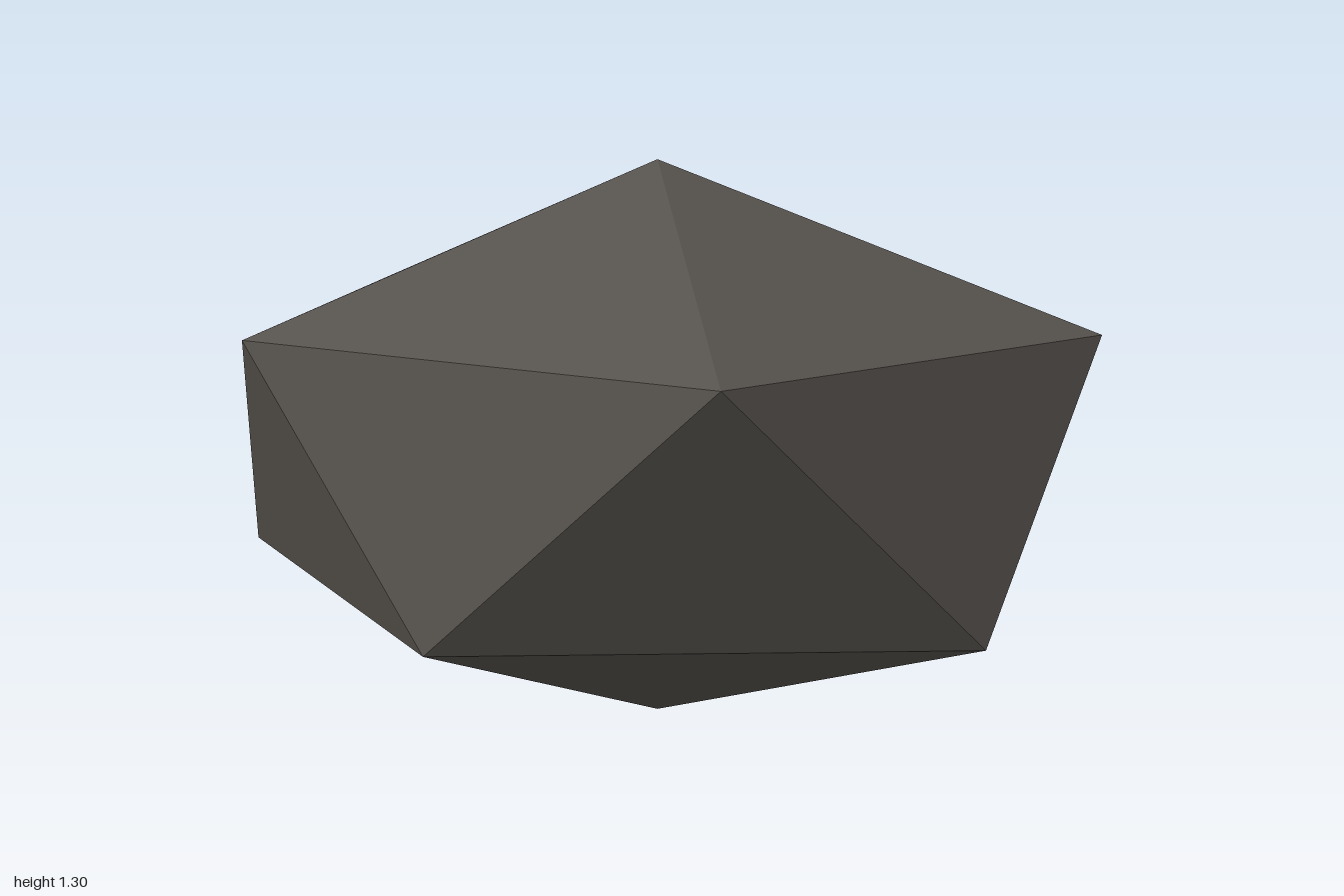
import * as THREE from 'three';

export function createModel() {
  const group = new THREE.Group();
  const stone = new THREE.MeshStandardMaterial({ color: 0x57534e, flatShading: true });
  stone.name = 'stone grey';

  // Squashed icosahedron: two offset rings of five between a top and a bottom point
  const point = (turn, y) => {
    const a = (turn * Math.PI * 2) / 5;
    return [Math.cos(a), y, Math.sin(a) * 0.83];
  };
  const upper = (i) => point(i, 0.944);
  const lower = (i) => point(i + 0.5, 0.361);
  const top = [0, 1.305, 0];
  const bottom = [0, 0, 0];

  const corners = [];
  for (let i = 0; i < 5; i++) {
    corners.push(
      top, upper(i + 1), upper(i), // cap
      upper(i), upper(i + 1), lower(i), // belt, pointing down
      lower(i), upper(i + 1), lower(i + 1), // belt, pointing up
      bottom, lower(i), lower(i + 1) // base
    );
  }
  const geometry = new THREE.BufferGeometry();
  geometry.setAttribute('position', new THREE.Float32BufferAttribute(corners.flat(), 3));
  geometry.computeVertexNormals();

  const rock = new THREE.Mesh(geometry, stone);
  rock.name = 'rock';
  group.add(rock);
  return group;
}
